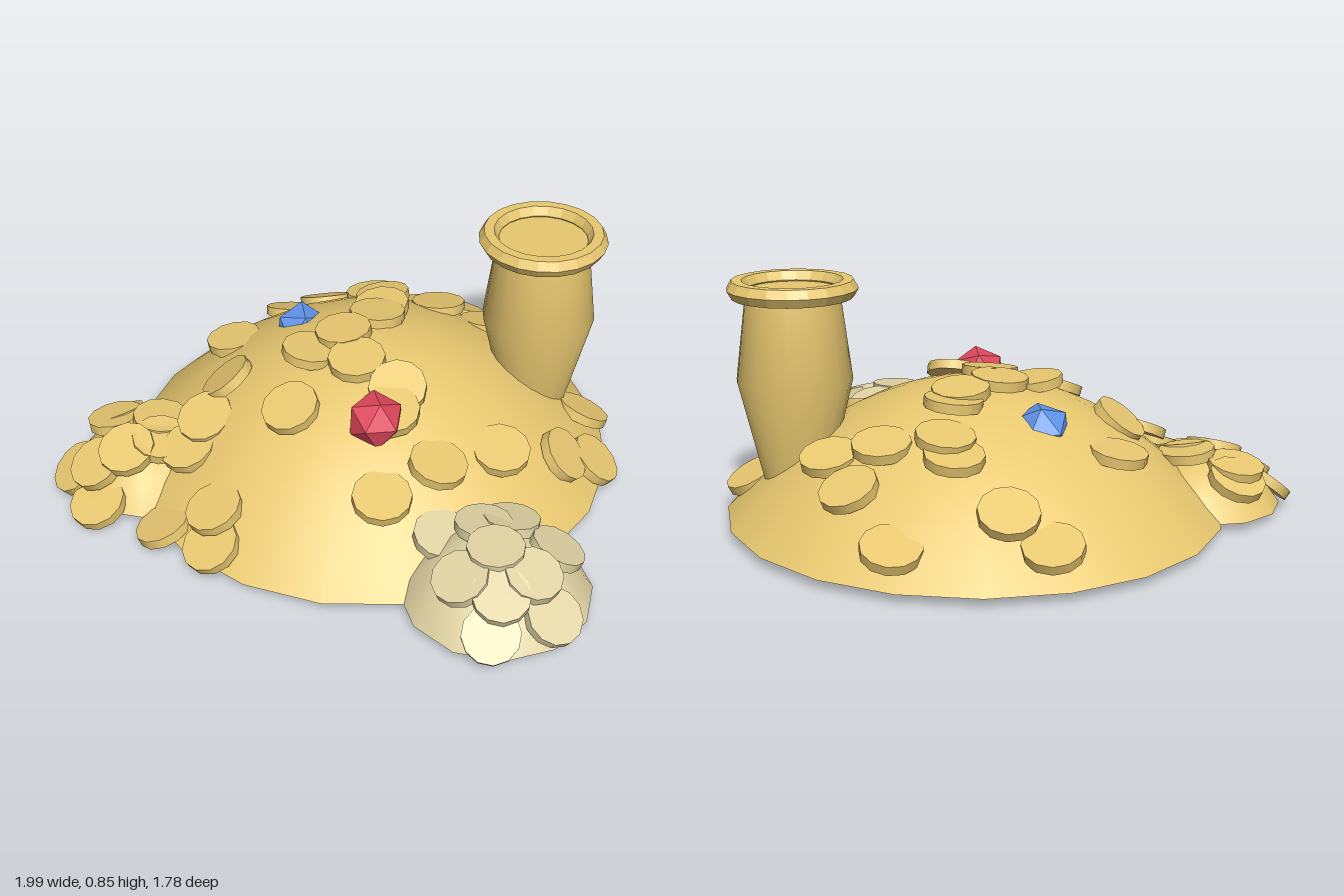
import * as THREE from 'three';

const BASE = 0.045;
const mat = (color, extra = {}) => new THREE.MeshStandardMaterial({ color, ...extra });
const gold = mat(0xe8c870), silver = mat(0xdfd2a2);

// Each pile: centre, radius, height, fullness of the dome, sides
const piles = [
  { name: 'mainMound', x: -0.09, z: -0.02, r: 0.87, h: 0.46, p: 2, sides: 20, m: gold },
  { name: 'smallGoldMound', x: -0.72, z: 0.49, r: 0.28, h: 0.18, p: 2.3, sides: 12, m: gold },
  { name: 'silverMound', x: 0.65, z: 0.48, r: 0.32, h: 0.2, p: 2.5, sides: 12, m: silver },
];

const pileHeight = (p, t) => BASE + p.h * (1 - Math.pow(Math.min(t, 1), p.p));
const heightAt = (x, z) => Math.max(...piles.map(p => pileHeight(p, Math.hypot(x - p.x, z - p.z) / p.r)));

function add(parent, name, geometry, material, x = 0, y = 0, z = 0) {
  const mesh = new THREE.Mesh(geometry, material);
  mesh.name = name;
  mesh.position.set(x, y, z);
  parent.add(mesh);
  return mesh;
}

// Coins: x, z, direction of the raised side in degrees (0 = +x, 90 = +z), tilt
const goldCoins = [
  [-0.29, -0.77, -80, 0.5], [-0.04, -0.66, -90, 0.15], [-0.7, -0.49, 190, 0.45], [-0.55, -0.51, 210, 0.15],
  [-0.31, -0.46, -100, 0.3], [-0.24, -0.41, -80, 0.3], [-0.05, -0.5, -60, 0.3], [0.13, -0.55, -40, 0.35],
  [-0.16, -0.25, -90, 0.3], [-0.135, -0.17, 0, 0], [-0.65, 0, 180, 0.4], [-0.18, 0, 0, 0],
  [-0.06, 0.12, 0, 0], [-0.24, 0.13, 135, 0.35], [-0.51, 0.26, 10, 0.3], [0.12, 0.16, -90, 0.3],
  [-0.18, 0.37, 0, 0], [0.14, 0.25, 0, 0.1], [0.35, 0.31, 60, 0.35], [0.49, 0.11, -10, 0.4],
  [0.64, -0.1, 160, 0.3], [0.71, -0.23, 0, 0.05], [0.58, -0.43, 0, 0.4], [0.24, 0.5, 60, 0.35],
  [-0.29, 0.7, 90, 0.4], [-0.25, 0.79, 90, 0.3], [-0.47, 0.75, 90, 0.4], [-0.5, 0.42, 180, 0.35],
  [-0.51, 0.52, 150, 0.35],
  [-0.89, 0.42, 200, 0.2], [-0.86, 0.47, 180, 0.3], [-0.71, 0.61, 90, 0], [-0.89, 0.67, 150, 0.3],
  [-0.74, 0.76, 90, 0.3], [-0.63, 0.52, 0, 0.1], [-0.69, 0.43, -90, 0.1], [-0.8, 0.67, 120, 0.2],
];
const silverCoins = [
  [0.64, 0.35, -90, 0.1], [0.81, 0.37, -20, 0.15], [0.66, 0.52, 0, 0], [0.895, 0.59, 20, 0.35],
  [0.6, 0.65, 90, 0.1], [0.75, 0.74, 80, 0.25], [0.45, 0.48, 180, 0.35], [0.8, 0.54, 0, 0.1],
  [0.74, 0.65, 60, 0.15], [0.57, 0.42, 190, 0.15],
];

function addCoins(parent, name, list, material, radius) {
  const geometry = new THREE.CylinderGeometry(radius, radius, 0.035, 12);
  const up = new THREE.Vector3(0, 1, 0), e = 0.03;
  const group = new THREE.Group();
  group.name = name;
  for (const [x, z, deg, tilt] of list) {
    const a = THREE.MathUtils.degToRad(deg);
    // Surface slope, leaned back so that one side sinks into the pile
    const gx = (heightAt(x + e, z) - heightAt(x - e, z)) / (2 * e);
    const gz = (heightAt(x, z + e) - heightAt(x, z - e)) / (2 * e);
    const n = new THREE.Vector3(-gx * 0.85 - Math.cos(a) * tilt, 1, -gz * 0.85 - Math.sin(a) * tilt).normalize();
    const coin = add(group, 'coin', geometry, material, x, heightAt(x, z) + 0.012, z);
    coin.quaternion.setFromUnitVectors(up, n);
  }
  parent.add(group);
}

export function createModel() {
  const model = new THREE.Group();
  model.name = 'treasurePile';

  // Domed piles with flat undersides
  for (const p of piles) {
    const profile = [];
    for (let i = 0; i <= 10; i++) {
      const t = 1 - i / 10;
      profile.push(new THREE.Vector2(t * p.r, pileHeight(p, t)));
    }
    add(model, p.name, new THREE.LatheGeometry(profile, p.sides), p.m, p.x, 0, p.z);
    add(model, p.name + 'Base', new THREE.CircleGeometry(p.r, p.sides).rotateX(Math.PI / 2), p.m, p.x, BASE, p.z);
  }

  addCoins(model, 'goldCoins', goldCoins, gold, 0.1);
  addCoins(model, 'silverCoins', silverCoins, silver, 0.095);

  // Half-buried vase with a faceted rim and a closed mouth
  const vase = new THREE.Group();
  vase.name = 'vase';
  vase.position.set(0.39, 0, -0.412);
  const body = [[0.1, 0.1], [0.2, 0.52], [0.16, 0.83]].map(([r, y]) => new THREE.Vector2(r, y));
  add(vase, 'vaseBody', new THREE.LatheGeometry(body, 20), gold);
  add(vase, 'vaseMouth', new THREE.CircleGeometry(0.16, 20).rotateX(-Math.PI / 2), gold, 0, 0.83, 0);
  add(vase, 'vaseRim', new THREE.TorusGeometry(0.19, 0.035, 6, 20).rotateX(Math.PI / 2),
    mat(0xe8c870, { flatShading: true }), 0, 0.835, 0);
  model.add(vase);

  // Cut gems
  const gem = new THREE.IcosahedronGeometry(0.1, 0);
  const red = add(model, 'redGem', gem, mat(0xe0465c, { flatShading: true }), 0.115, 0.435, 0.31);
  red.rotation.set(0.4, 0.3, 0.2);
  const blue = add(model, 'blueGem', gem, mat(0x5f93ea, { flatShading: true }), -0.415, 0.39, -0.1);
  blue.rotation.set(0.55, 0.2, 0.1);

  return model;
}
